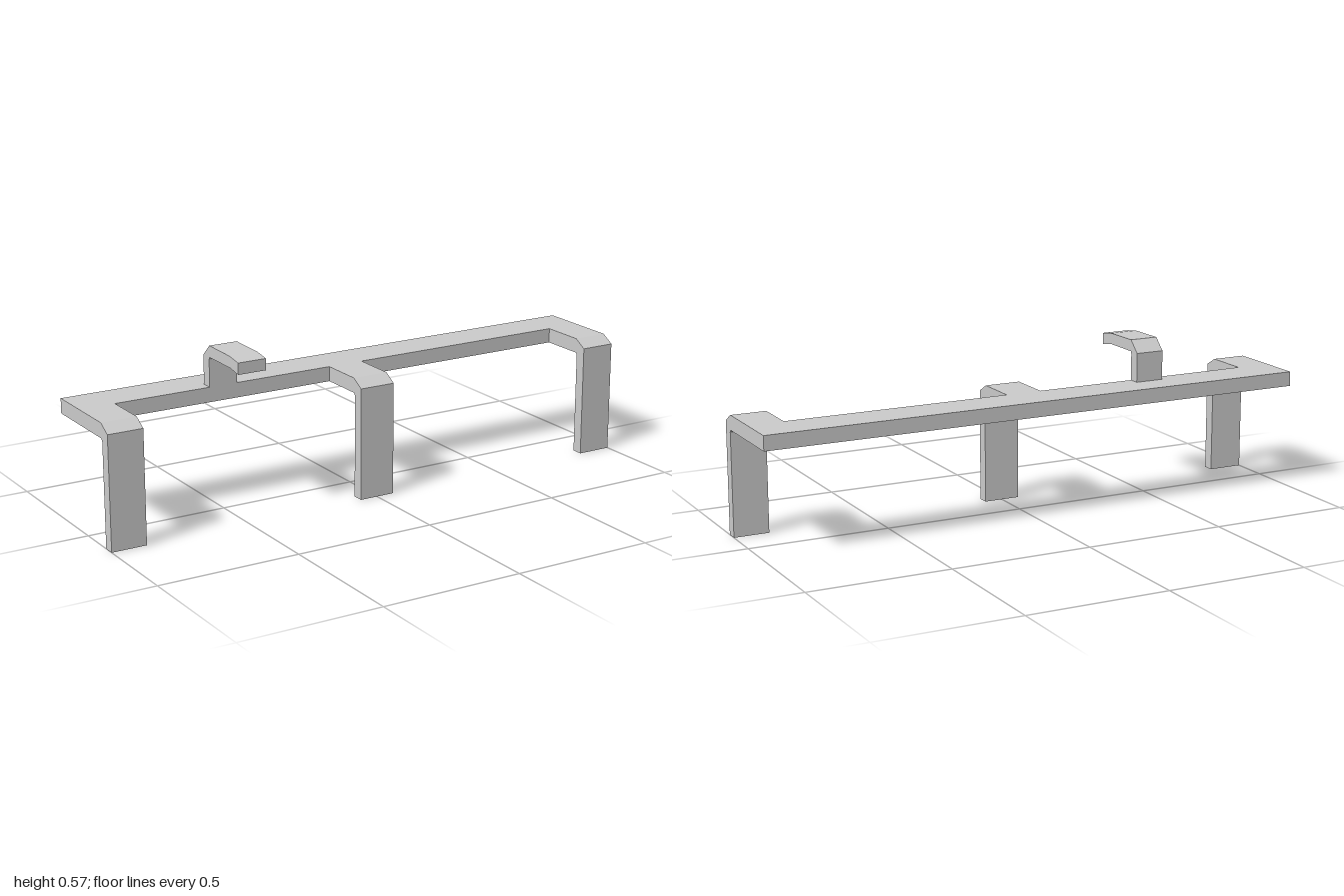
import * as THREE from 'three';

const material = new THREE.MeshStandardMaterial({ color: 0xcccccc, flatShading: true });

// Extrudes a side profile of [z, y] points to a given width, centred on x
function profileBar(name, points, width, x) {
  const shape = new THREE.Shape(points.map(([z, y]) => new THREE.Vector2(z, y)));
  const geometry = new THREE.ExtrudeGeometry(shape, { depth: width, bevelEnabled: false });
  geometry.translate(0, 0, -width / 2);
  geometry.rotateY(-Math.PI / 2);
  const mesh = new THREE.Mesh(geometry, material);
  mesh.name = name;
  mesh.position.x = x;
  return mesh;
}

export function createModel() {
  const group = new THREE.Group();
  group.name = 'bracketRail';
  const bottom = 0.37, top = 0.422;
  const back = -0.176, railFront = -0.03, front = 0.176;

  // Long flat rail along the back
  const rail = new THREE.Mesh(
    new THREE.BoxGeometry(2, top - bottom, railFront - back), material);
  rail.name = 'rail';
  rail.position.set(0, (top + bottom) / 2, (railFront + back) / 2);
  group.add(rail);

  // Three arms that reach forward and bend down into legs
  const legProfile = [
    [railFront, bottom], [0.13, bottom], [0.136, 0.363], [0.136, 0],
    [front, 0], [front, 0.395], [0.13, top], [railFront, top],
  ];
  group.add(profileBar('rightLeg', legProfile, 0.125, -0.9375));
  group.add(profileBar('middleLeg', legProfile, 0.13, 0));
  group.add(profileBar('leftLeg', legProfile, 0.125, 0.9375));

  // Hook standing on the rail, curling forward
  const hookProfile = [
    [-0.07, top], [-0.03, top], [-0.03, 0.517], [-0.027, 0.525], [0.113, 0.525],
    [0.17, 0.515], [0.17, 0.555], [0.113, 0.564], [-0.027, 0.566], [-0.07, 0.525],
  ];
  group.add(profileBar('hook', hookProfile, 0.103, -0.477));

  return group;
}
